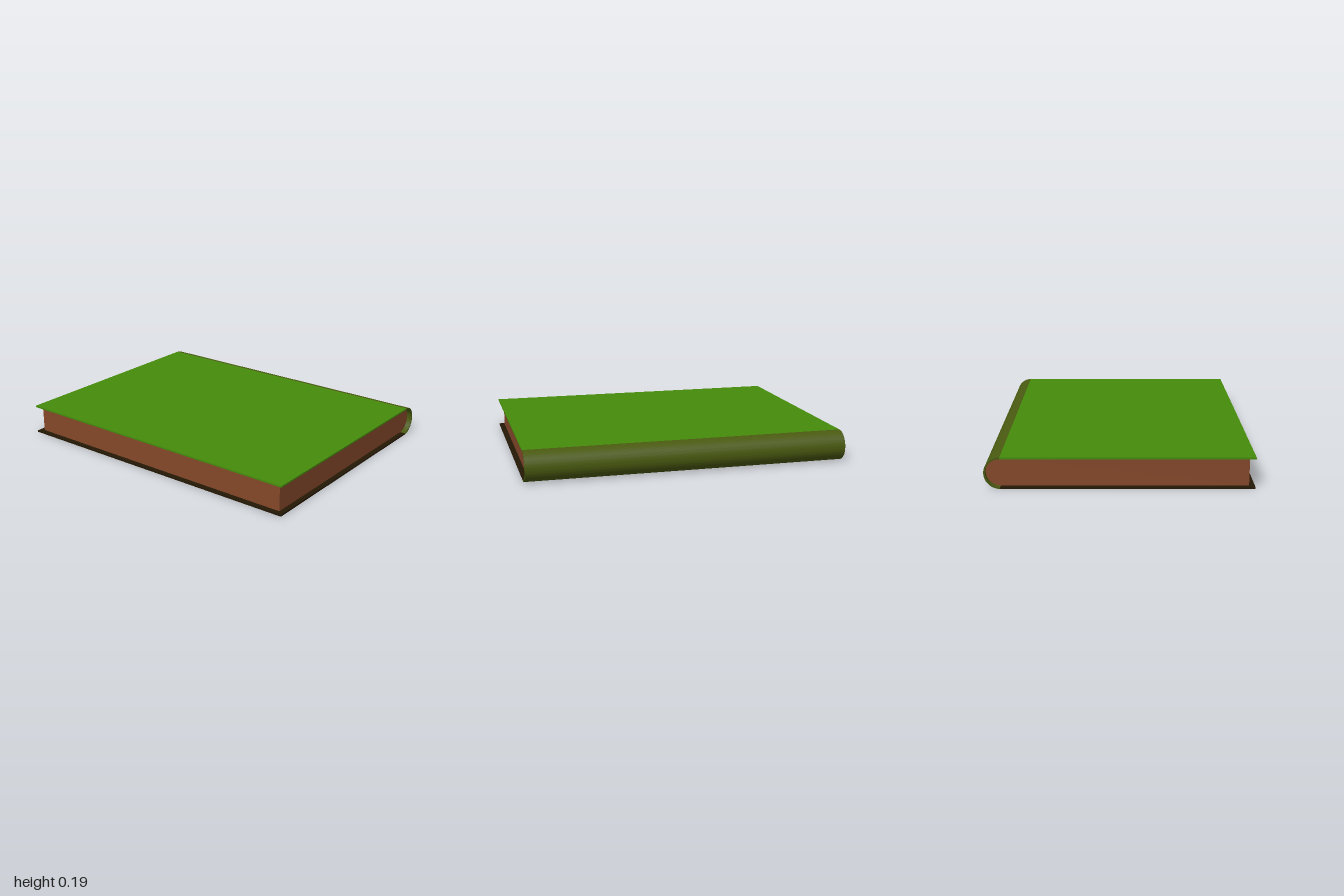
import * as THREE from 'three';
import { toCreasedNormals } from 'three/addons/utils/BufferGeometryUtils.js';

const R = 0.095;            // outer radius of the rounded spine, half the thickness
const T = 0.01;             // cover thickness
const SPINE_X = 0.69;       // where the flat boards meet the spine
const EDGE_X = -0.785;      // open edge of the boards
const OVERHANG = 0.033;     // how far the boards stand out past the pages

export function createModel() {
  const book = new THREE.Group();
  book.name = 'book';

  const add = (name, geometry, color) => {
    const mesh = new THREE.Mesh(geometry, new THREE.MeshStandardMaterial({ color }));
    mesh.name = name;
    book.add(mesh);
    return mesh;
  };

  // Extrudes an x-y outline along z, centred, with smooth curves and sharp ends
  const extrude = (shape, depth) => {
    const geometry = new THREE.ExtrudeGeometry(shape, { depth, bevelEnabled: false, curveSegments: 32 });
    geometry.translate(0, 0, -depth / 2);
    return toCreasedNormals(geometry, Math.PI / 6);
  };

  // Flat boards above and below the pages
  const width = SPINE_X - EDGE_X;
  const board = new THREE.BoxGeometry(width, T, 2);
  const middle = (SPINE_X + EDGE_X) / 2;
  add('frontCover', board, 0x468c0c).position.set(middle, 2 * R - T / 2, 0);
  add('backCover', board, 0x241805).position.set(middle, T / 2, 0);

  // Half-round spine shell joining the boards
  const spine = new THREE.Shape();
  spine.absarc(SPINE_X, R, R, -Math.PI / 2, Math.PI / 2, false);
  spine.absarc(SPINE_X, R, R - T, Math.PI / 2, -Math.PI / 2, true);
  spine.closePath();
  add('spine', extrude(spine, 2), 0x4a5a10);

  // Page block, rounded to fit inside the spine
  const pages = new THREE.Shape();
  pages.moveTo(EDGE_X + OVERHANG, T);
  pages.lineTo(SPINE_X, T);
  pages.absarc(SPINE_X, R, R - T, -Math.PI / 2, Math.PI / 2, false);
  pages.lineTo(EDGE_X + OVERHANG, 2 * R - T);
  pages.closePath();
  add('pages', extrude(pages, 2 - 2 * OVERHANG), 0x84482a);

  return book;
}
